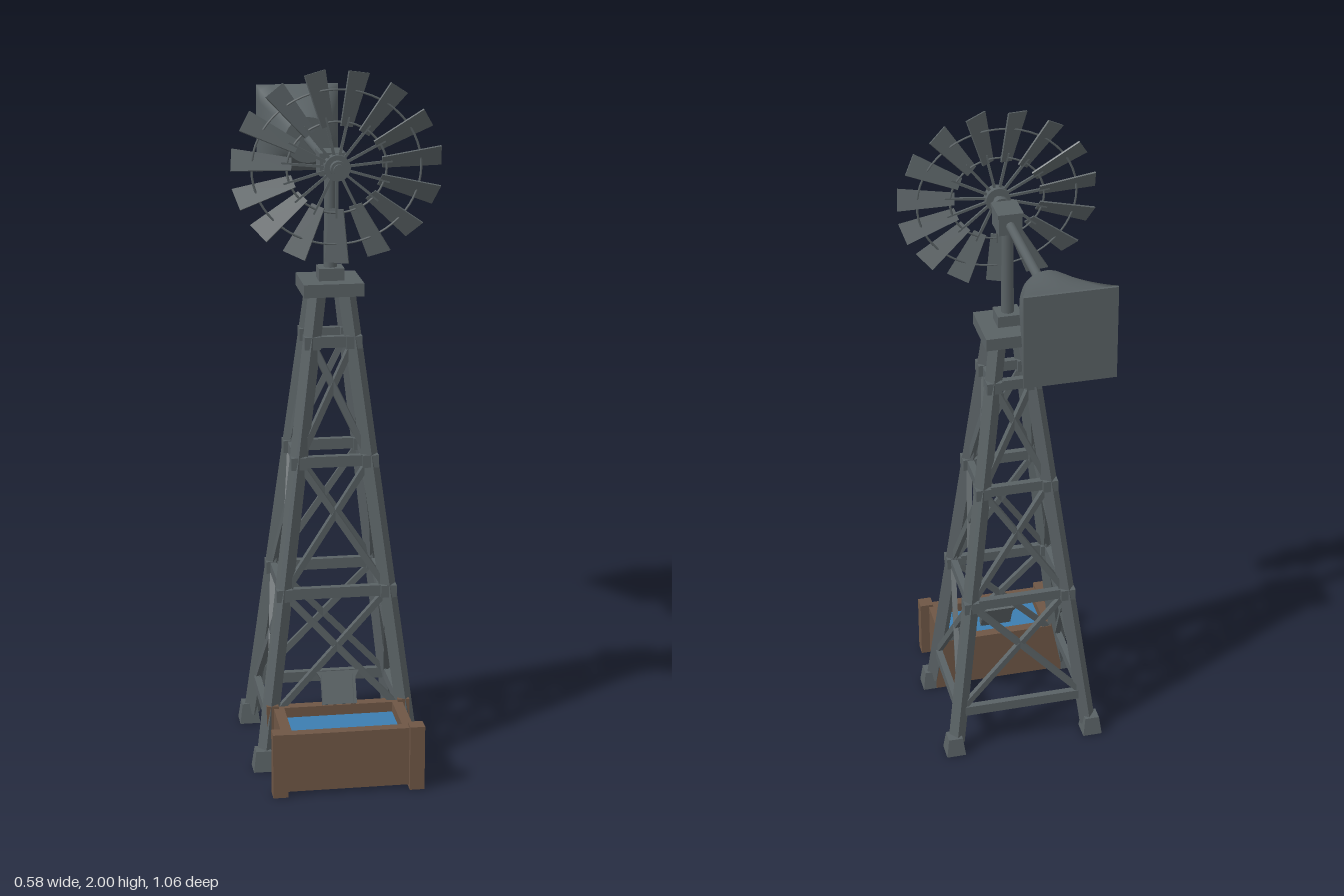
import * as THREE from 'three';

const mat = (name, color) => {
  const m = new THREE.MeshStandardMaterial({ color });
  m.name = name;
  return m;
};

export function createModel() {
  const steel = mat('slate steel', 0x596164);
  const wood = mat('brown wood', 0x6e5645);
  const water = mat('blue water', 0x3c7db0);
  const root = new THREE.Group();
  root.name = 'windPump';

  const add = (parent, name, geo, m, x = 0, y = 0, z = 0) => {
    const mesh = new THREE.Mesh(geo, m);
    mesh.name = name;
    mesh.position.set(x, y, z);
    parent.add(mesh);
    return mesh;
  };
  const group = (name, x, y, z) => {
    const g = new THREE.Group();
    g.name = name;
    g.position.set(x, y, z);
    root.add(g);
    return g;
  };
  const box = (p, name, w, h, d, m, x, y, z) => add(p, name, new THREE.BoxGeometry(w, h, d), m, x, y, z);
  // square bar between two points
  const bar = (p, name, a, b, w, h = w) => {
    const mid = a.clone().add(b).multiplyScalar(0.5);
    const mesh = box(p, name, w, h, a.distanceTo(b), steel, mid.x, mid.y, mid.z);
    mesh.lookAt(b);
    return mesh;
  };
  // round bar along z
  const rod = (p, name, r, z0, z1, y = 0, sides = 16) =>
    add(p, name, new THREE.CylinderGeometry(r, r, z1 - z0, sides).rotateX(Math.PI / 2), steel, 0, y, (z0 + z1) / 2);

  // ---- tower: leaning legs, rings and crossed braces ----
  const tower = new THREE.Group();
  tower.name = 'tower';
  const H = 1.365;
  const corners = [[1, 1], [-1, 1], [-1, -1], [1, -1]];
  const legAt = ([sx, sz], y) => {
    const t = y / H;
    return new THREE.Vector3(sx * (0.215 - 0.173 * t), y, sz * (0.172 - 0.13 * t));
  };
  const levels = [0.14, 0.51, 0.89, 1.23];
  corners.forEach((c, i) => {
    const next = corners[(i + 1) % 4];
    bar(tower, 'leg', legAt(c, 0.03), legAt(c, H), 0.036);
    const foot = new THREE.CylinderGeometry(0.022 * Math.SQRT2, 0.03 * Math.SQRT2, 0.06, 4).rotateY(Math.PI / 4);
    add(tower, 'foot', foot.toNonIndexed(), steel, c[0] * 0.219, 0.03, c[1] * 0.175).geometry.computeVertexNormals();
    levels.forEach((y, k) => {
      const a = legAt(c, y), b = legAt(next, y);
      bar(tower, 'ringBeam', a, b, 0.02, 0.032);
      if (k > 0) box(tower, 'collar', 0.045, 0.036, 0.045, steel, a.x, y, a.z);
      if (k < 3) {
        bar(tower, 'crossBrace', a, legAt(next, levels[k + 1]), 0.016, 0.018);
        bar(tower, 'crossBrace', b, legAt(c, levels[k + 1]), 0.016, 0.018);
      }
    });
  });
  box(tower, 'platform', 0.17, 0.037, 0.17, steel, 0, 1.382, 0);
  tower.position.z = 0.15;
  root.add(tower);

  // ---- mast and gearbox ----
  const head = group('head', 0, 0, 0.158);
  box(head, 'mastBase', 0.072, 0.036, 0.065, steel, 0, 1.417, 0);
  add(head, 'mast', new THREE.CylinderGeometry(0.017, 0.019, 0.3, 12), steel, 0, 1.57, 0);
  box(head, 'gearbox', 0.068, 0.06, 0.082, steel, 0, 1.727, 0);
  box(head, 'gearboxLid', 0.074, 0.012, 0.088, steel, 0, 1.756, 0);
  rod(root, 'tailBoom', 0.0135, -0.29, 0.13, 1.724, 12);

  // ---- tail vane: round section widening to a square one ----
  const N = 32, R = 8, pos = [], idx = [];
  for (let j = 0; j <= R; j++) {
    const t = j / R;
    for (let i = 0; i < N; i++) {
      const a = (i / N) * Math.PI * 2 + Math.PI / 4;
      const c = Math.cos(a), s = Math.sin(a);
      const square = 1 / Math.max(Math.abs(c), Math.abs(s));
      const r = 1 - t + t * square;
      const hx = 0.07 + 0.055 * Math.pow(t, 0.75), hy = 0.068 + 0.064 * t;
      pos.push(c * r * hx, s * r * hy, -0.28 - 0.242 * t);
    }
  }
  for (let j = 0; j < R; j++) for (let i = 0; i < N; i++) {
    const a = j * N + i, b = j * N + (i + 1) % N;
    idx.push(a, a + N, b, b, a + N, b + N);
  }
  const shell = new THREE.BufferGeometry();
  shell.setAttribute('position', new THREE.Float32BufferAttribute(pos, 3));
  shell.setIndex(idx);
  shell.computeVertexNormals();
  const vane = group('tailVane', 0, 1.721, 0);
  add(vane, 'vaneShell', shell, steel);
  const disc = add(vane, 'vaneFront', new THREE.CircleGeometry(0.07, N), steel, 0, 0, -0.28);
  disc.scale.y = 0.97;
  box(vane, 'vaneEnd', 0.25, 0.264, 0.008, steel, 0, 0, -0.526);

  // ---- wind wheel: fifteen pitched blades, slightly wider than tall ----
  const wheel = group('windWheel', 0, 1.735, 0.278);
  wheel.scale.set(1.1, 1, 1);
  const blade = new THREE.BoxGeometry(1, 0.15, 0.005);
  const bp = blade.attributes.position;
  for (let i = 0; i < bp.count; i++) bp.setX(i, bp.getX(i) * (bp.getY(i) > 0 ? 0.064 : 0.036));
  blade.rotateY(0.5);
  blade.translate(0, 0.189, 0);
  blade.computeVertexNormals();
  for (let i = 0; i < 15; i++) {
    const arm = new THREE.Group();
    arm.name = 'bladeArm';
    arm.rotation.z = Math.PI + (i / 15) * Math.PI * 2;
    add(arm, 'blade', blade, steel);
    box(arm, 'spoke', 0.007, 0.13, 0.007, steel, 0, 0.075, 0);
    wheel.add(arm);
  }
  add(wheel, 'outerRing', new THREE.TorusGeometry(0.212, 0.003, 6, 60), steel);
  add(wheel, 'innerRing', new THREE.TorusGeometry(0.125, 0.003, 6, 48), steel);
  rod(root, 'wheelShaft', 0.015, 0.19, 0.325, 1.735);
  rod(root, 'shaftCollar', 0.025, 0.22, 0.238, 1.735);
  rod(root, 'hub', 0.036, 0.262, 0.294, 1.735, 20);
  rod(root, 'hubCap', 0.022, 0.29, 0.315, 1.735);

  // ---- water trough ----
  const trough = group('trough', 0, 0, 0);
  for (const s of [1, -1]) {
    box(trough, 'sideWall', 0.03, 0.172, 0.21, wood, s * 0.172, 0.096, 0.405);
    box(trough, 'frontPost', 0.042, 0.19, 0.042, wood, s * 0.194, 0.095, 0.51);
    box(trough, 'backPost', 0.034, 0.19, 0.034, wood, s * 0.19, 0.095, 0.312);
  }
  box(trough, 'frontWall', 0.374, 0.172, 0.03, wood, 0, 0.096, 0.5);
  box(trough, 'backWall', 0.374, 0.172, 0.03, wood, 0, 0.096, 0.31);
  box(trough, 'floor', 0.36, 0.02, 0.2, wood, 0, 0.02, 0.405);
  box(trough, 'waterSurface', 0.318, 0.008, 0.164, water, 0, 0.148, 0.405);

  // ---- spout: tapering chute that tips toward the trough ----
  const spout = group('spout', 0, 0.235, 0.316);
  spout.rotation.x = -0.45;
  const outline = new THREE.Shape();
  outline.moveTo(-0.045, -0.05).lineTo(0.045, -0.05).lineTo(0.05, 0.025).lineTo(0.062, 0.045);
  outline.lineTo(-0.062, 0.045).lineTo(-0.05, 0.025).closePath();
  add(spout, 'chute', new THREE.ExtrudeGeometry(outline, { depth: 0.012, bevelEnabled: false }), steel);
  for (const s of [1, -1]) box(spout, 'chuteLip', 0.008, 0.085, 0.022, steel, s * 0.045, -0.008, 0.012);

  return root;
}
